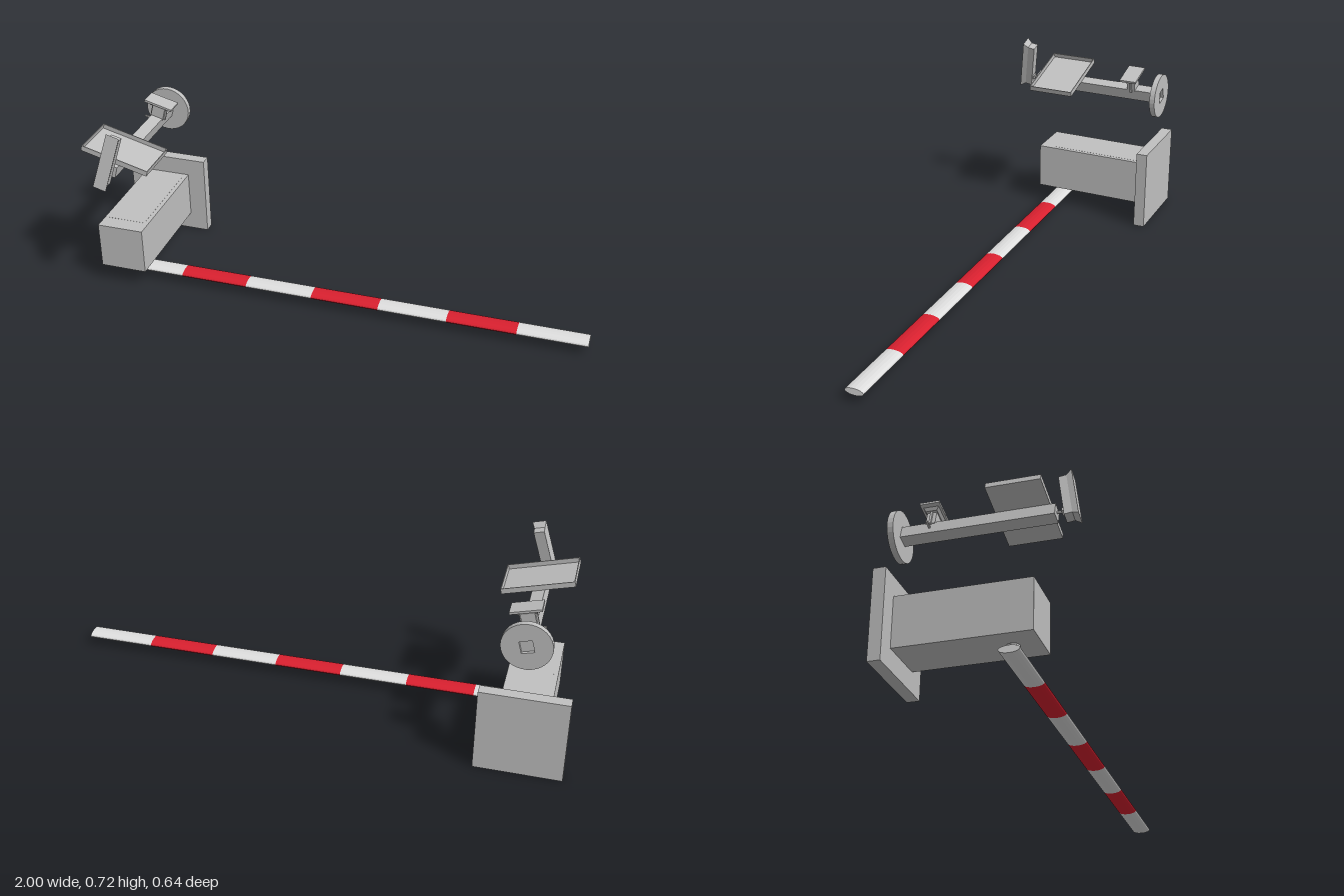
import * as THREE from 'three';

export function createModel() {
  const mat = (name, color) => {
    const m = new THREE.MeshStandardMaterial({ color });
    m.name = name;
    return m;
  };
  const grey = mat('grey metal', 0xc0c0c0);
  const white = mat('white paint', 0xdedede);
  const red = mat('red paint', 0xd9202f);

  const model = new THREE.Group();
  model.name = 'barrierGate';

  const add = (parent, name, geo, material, x = 0, y = 0, z = 0) => {
    const m = new THREE.Mesh(geo, material);
    m.name = name;
    m.position.set(x, y, z);
    parent.add(m);
    return m;
  };
  // box given by its min and max along each axis
  const span = (parent, name, x0, x1, y0, y1, z0, z1) =>
    add(parent, name, new THREE.BoxGeometry(x1 - x0, y1 - y0, z1 - z0), grey,
      (x0 + x1) / 2, (y0 + y1) / 2, (z0 + z1) / 2);

  // Cabinet on its base plate
  span(model, 'basePlate', -1, -0.672, 0, 0.33, -0.322, -0.277);
  span(model, 'cabinet', -0.929, -0.744, 0.073, 0.259, -0.277, 0.15);
  span(model, 'cabinetCap', -0.929, -0.744, 0.073, 0.259, 0.15, 0.195);
  span(model, 'cabinetDoor', -0.912, -0.761, 0.258, 0.2595, -0.25, 0.13);

  // Pivot between cabinet and boom
  const pivot = new THREE.CylinderGeometry(0.023, 0.023, 0.028, 8).toNonIndexed();
  pivot.computeVertexNormals();
  add(model, 'boomPivot', pivot, grey, -0.838, 0.062, 0.101);

  // Striped boom with an oval section
  const segments = 7, start = -0.88, step = (1 - start) / segments;
  const oval = new THREE.Shape();
  oval.absellipse(0, 0, 0.037, 0.0135, 0, Math.PI * 2);
  for (let i = 0; i < segments; i++) {
    const g = new THREE.ExtrudeGeometry(oval, { depth: step, bevelEnabled: false, curveSegments: 8 });
    g.rotateY(Math.PI / 2);
    add(model, 'boomSegment' + (i + 1), g, i % 2 ? red : white, start + i * step, 0.0435, 0.1);
  }

  // Arm assembly, rolled about its own long axis
  const arm = new THREE.Group();
  arm.name = 'armAssembly';
  arm.position.set(-0.826, 0.544, 0);
  arm.rotation.z = -Math.PI / 12;
  model.add(arm);
  const s = 0.0235;
  span(arm, 'armPole', -s, s, -s, s, -0.31, 0.24);

  // Round flange with a square socket
  const flange = new THREE.Shape();
  flange.absarc(0, 0, 0.091, 0, Math.PI * 2);
  const socket = new THREE.Path();
  socket.moveTo(-s, -s).lineTo(-s, s).lineTo(s, s).lineTo(s, -s).closePath();
  flange.holes.push(socket);
  add(arm, 'armFlange', new THREE.ExtrudeGeometry(flange,
    { depth: 0.022, bevelEnabled: false, curveSegments: 16 }), grey, 0, 0, -0.322);

  // Shallow open tray
  const tx = 0.136, z0 = 0.031, z1 = 0.221, t = 0.003, low = s, high = s + 0.021;
  span(arm, 'trayFloor', -tx, tx, low, low + t, z0, z1);
  for (const d of [-1, 1]) {
    const x = d * (tx - t / 2);
    span(arm, 'traySide', x - t / 2, x + t / 2, low, high, z0, z1);
  }
  span(arm, 'trayBack', -tx, tx, low, high, z0, z0 + t);
  span(arm, 'trayFront', -tx, tx, low, high, z1 - t, z1);

  // Box whose top is scaled by sx, sy along its +z end
  const taper = (w, h, d, sx, sy) => {
    const g = new THREE.BoxGeometry(w, h, d).toNonIndexed();
    const p = g.attributes.position;
    for (let i = 0; i < p.count; i++) {
      if (p.getZ(i) > 0) p.setXY(i, p.getX(i) * sx, p.getY(i) * sy);
    }
    g.computeVertexNormals();
    return g;
  };

  // Small plate on a clamp bracket
  const bz = -0.197;
  span(arm, 'bracketPlate', -0.058, 0.058, 0.081, 0.09, bz - 0.035, bz + 0.035);
  const collar = taper(0.07, 0.04, 0.012, 1.2, 1.35);
  collar.rotateX(-Math.PI / 2);
  add(arm, 'bracketCollar', collar, grey, 0, 0.075, bz);
  span(arm, 'bracketStem', -0.026, 0.026, 0.018, 0.07, bz - 0.017, bz + 0.017);
  span(arm, 'bracketRib', -0.032, 0.032, 0.015, 0.07, bz - 0.004, bz + 0.004);
  span(arm, 'clampBolt', -0.054, -0.02, -0.003, 0.003, bz - 0.003, bz + 0.003);

  // Leaning lamp head with a flared front
  const head = new THREE.Group();
  head.name = 'lampHead';
  head.position.set(0, 0.0706, 0.303);
  head.rotation.x = -Math.PI / 18;
  arm.add(head);
  add(head, 'lampFlare', taper(0.04, 0.19, 0.021, 1.3, 1.16), grey, 0, 0, -0.0105);
  add(head, 'lampBody', new THREE.BoxGeometry(0.04, 0.19, 0.028), grey, 0, 0, -0.035);

  // Joint holding the head to the pole end
  const joint = new THREE.CylinderGeometry(0.005, 0.005, 0.04, 8);
  joint.rotateX(Math.PI / 2);
  add(arm, 'headJoint', joint, grey, 0, 0.003, 0.255);
  span(arm, 'jointPlate', -0.012, 0.012, -0.005, 0.011, 0.258, 0.27);

  return model;
}
